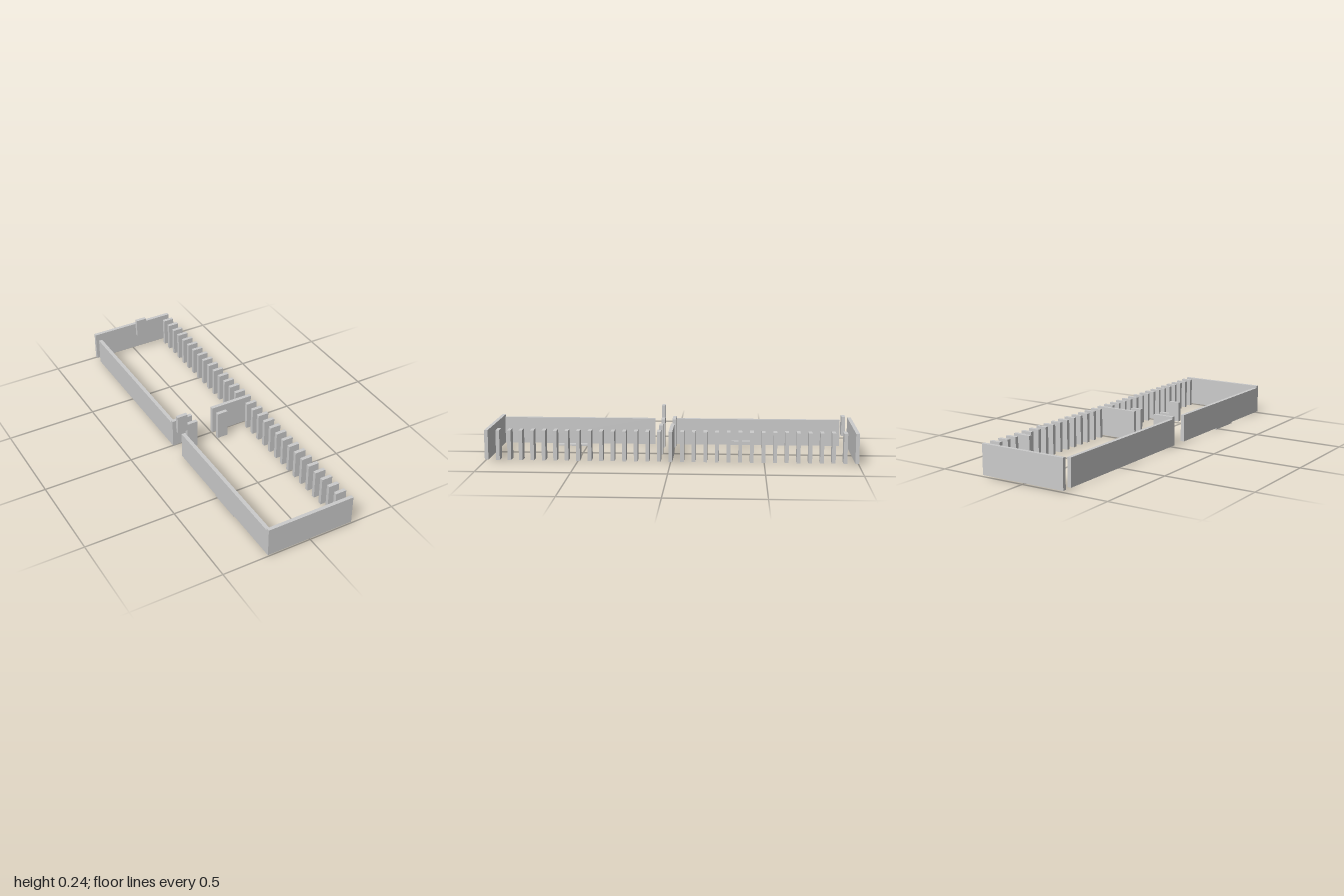
import * as THREE from 'three';

export function createModel() {
  const model = new THREE.Group();
  const material = new THREE.MeshStandardMaterial({ color: 0xcccccc, flatShading: true });
  const BASE = 0.008, TOP = 0.17, SIDE_TOP = 0.157;
  const HALF_X = 0.247, T = 0.02, STEP = 0.99 / 16;

  // Box given by its min and max on each axis
  function block(name, [x0, x1], [y0, y1], [z0, z1], parent = model) {
    const mesh = new THREE.Mesh(new THREE.BoxGeometry(x1 - x0, y1 - y0, z1 - z0), material);
    mesh.position.set((x0 + x1) / 2, (y0 + y1) / 2, (z0 + z1) / 2);
    mesh.name = name;
    parent.add(mesh);
  }
  const around = (z) => [z - T / 2, z + T / 2];
  const full = [BASE, TOP];

  // End walls and central partition with a doorway
  block('frontWall', [-HALF_X, HALF_X], full, around(0.99));
  block('backWall', [-HALF_X, HALF_X], full, around(-0.99));
  block('partitionLeft', [0, HALF_X], full, around(0));
  block('partitionRight', [-HALF_X, -0.127], full, around(0));

  // Solid side walls, slightly lower than the ends
  const sideX = [-HALF_X, -0.226];
  block('sideWallFront', sideX, [BASE, SIDE_TOP], [0.113, 0.98]);
  block('sideWallBack', sideX, [BASE, SIDE_TOP], [-0.937, -0.01]);

  // Row of upright fins along the open side
  const fins = new THREE.Group();
  fins.name = 'fins';
  for (let k = -15; k <= 15; k++) {
    if (k !== 0) block('fin', [0.186, HALF_X], full, around(k * STEP), fins);
  }
  model.add(fins);

  // Short panels beside the doorway and raised panels
  block('doorPanelRight', [-0.19, -0.127], full, around(STEP));
  block('doorPanelLeft', [0, 0.061], full, around(STEP));
  block('raisedPanelMiddle', [-HALF_X, -0.187], [0.134, 0.238], around(STEP));
  block('raisedPanelBack', [0, 0.061], [0.123, 0.228], around(-15 * STEP));

  // Floor mat under the side wall
  block('floorMat', [-HALF_X, -0.188], [0, BASE], [0.48, 0.666]);

  // Small channel-shaped shelf on the side wall
  const shelf = new THREE.Group();
  shelf.name = 'shelf';
  const shelfZ = [-0.445, -0.323];
  block('shelfBase', [-0.227, -0.19], [0.014, 0.024], shelfZ, shelf);
  block('shelfRail', [-0.227, -0.217], [0.024, 0.036], shelfZ, shelf);
  block('shelfRail', [-0.202, -0.19], [0.024, 0.036], shelfZ, shelf);
  model.add(shelf);

  return model;
}
